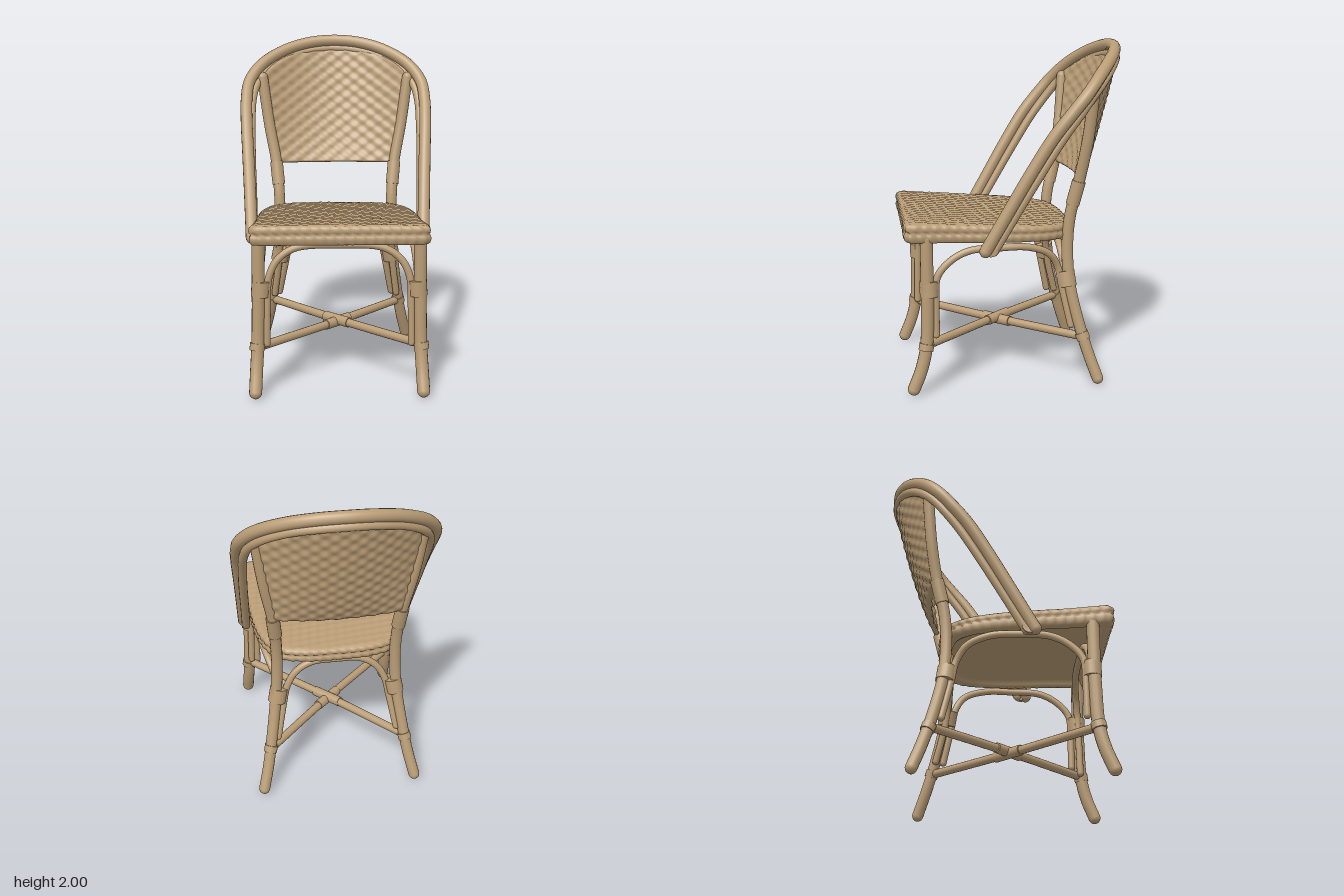
import * as THREE from 'three';
import { mergeGeometries, mergeVertices } from 'three/addons/utils/BufferGeometryUtils.js';

const V = (p) => new THREE.Vector3(...p);
const flipX = (p) => [-p[0], p[1], p[2]];
const lerp = THREE.MathUtils.lerp;

export function createModel() {
  const chair = new THREE.Group();
  chair.name = 'rattanChair';
  const cane = new THREE.MeshStandardMaterial({ color: 0xba9d76 });
  cane.name = 'cane';

  function add(name, geometry) {
    const mesh = new THREE.Mesh(geometry, cane);
    mesh.name = name;
    chair.add(mesh);
  }

  // Bent cane with rounded ends
  function rod(name, points, r, segments = 48) {
    const pts = points.map(V);
    const tube = new THREE.TubeGeometry(new THREE.CatmullRomCurve3(pts), segments, r, 14);
    const ends = [pts[0], pts[pts.length - 1]].map((p) =>
      new THREE.SphereGeometry(r, 14, 8).translate(p.x, p.y, p.z));
    add(name, mergeGeometries([tube, ...ends]));
  }

  // Wrapped binding between two points
  function binding(name, from, to, r) {
    const a = V(from), b = V(to), dir = b.clone().sub(a);
    const h = dir.length();
    const g = new THREE.CylinderGeometry(r, r, h, 20);
    g.applyQuaternion(new THREE.Quaternion().setFromUnitVectors(V([0, 1, 0]), dir.normalize()));
    const c = a.add(b).multiplyScalar(0.5);
    add(name, g.translate(c.x, c.y, c.z));
  }

  // Smooth surface from rows of points, closed around each row
  function surface(rows, cols, fn) {
    const pos = [], index = [];
    for (let i = 0; i <= rows; i++) {
      for (let j = 0; j < cols; j++) pos.push(...fn(i, j / cols));
    }
    for (let i = 0; i < rows; i++) {
      for (let j = 0; j < cols; j++) {
        const k = (j + 1) % cols;
        const a = i * cols + j, b = i * cols + k, c = a + cols, d = b + cols;
        index.push(a, b, c, b, d, c);
      }
    }
    let g = new THREE.BufferGeometry();
    g.setAttribute('position', new THREE.Float32BufferAttribute(pos, 3));
    g.setIndex(index);
    g = mergeVertices(g, 1e-5);
    g.computeVertexNormals();
    return g;
  }

  // Woven seat: outline from the back centre round the left side to the front
  const half = [[0.2, -0.335], [0.33, -0.295], [0.41, -0.2], [0.455, -0.05], [0.475, 0.15],
    [0.483, 0.4], [0.5, 0.58], [0.503, 0.635], [0.48, 0.655], [0.25, 0.658]];
  const outline = [[0, -0.345], ...half, [0, 0.658], ...half.slice().reverse().map(([x, z]) => [-x, z])];
  const seatCurve = new THREE.CatmullRomCurve3(outline.map(([x, z]) => V([x, 0, z])), true);
  const seatCols = 260;
  const rim = seatCurve.getSpacedPoints(seatCols);
  // Profile as [outline scale, height within the slab]
  const profile = [];
  for (let i = 0; i <= 40; i++) profile.push([0.94 * i / 40, 1]);
  profile.push([0.97, 0.97], [0.99, 0.88], [1, 0.76], [0.995, 0.62], [0.98, 0.53], [0.995, 0.44],
    [1, 0.3], [0.99, 0.12], [0.97, 0.03], [0.94, 0], [0.88, 0], [0.85, 0.08], [0.84, 0.35], [0, 0.35]);
  add('wovenSeat', surface(profile.length - 1, seatCols, (i, u) => {
    const [s, t] = profile[i];
    const p = rim[Math.round(u * seatCols)];
    const edge = t < 0.97 && s > 0.96 ? 1 + 0.007 * Math.sin(u * Math.PI * 2 * 64 + (t > 0.53 ? 0 : 3)) : 1;
    const x = p.x * s * edge, z = 0.15 + (p.z - 0.15) * s * edge;
    const f = z + 0.345;
    const weave = t === 1 ? 0.004 * Math.sin(65 * (x + z)) * Math.sin(50 * (x - z)) : 0;
    return [x, lerp(0.86 + 0.04 * f, 0.95 + 0.066 * f, t) + weave, z];
  }));

  // Curved woven back, its top following the hoop
  const backRows = 90;
  add('wovenBack', surface(backRows, 220, (i, u) => {
    const v = i / backRows, front = u < 0.5;
    const s = front ? 4 * u - 1 : 3 - 4 * u;
    const x = s * lerp(0.4, 0.465, Math.min(1, v * 1.1));
    const y = 1.2 + v * (0.71 - 0.04 * s * s - 0.12 * s ** 4);
    const zMid = -0.4 - 0.23 * v ** 0.75, zEdge = -0.36 - 0.065 * v;
    const taper = Math.sqrt(Math.max(0, (1 - s ** 20) * (1 - (2 * v - 1) ** 40)));
    const weave = 0.005 * Math.sin(62 * x + (front ? 0 : 1)) * Math.sin(85 * y);
    return [x, y, lerp(zMid, zEdge, s * s) + (front ? 1 : -1) * taper * (0.018 + weave)];
  }));

  // Double hoop forming the arms and the top of the back
  const arch = (h) => [...h, ...h.slice(0, -1).reverse().map(flipX)];
  rod('outerHoop', arch([[0.51, 0.845, 0.205], [0.525, 1.1, 0.06], [0.538, 1.3, -0.055],
    [0.552, 1.5, -0.18], [0.555, 1.62, -0.275], [0.54, 1.72, -0.36], [0.465, 1.82, -0.45],
    [0.32, 1.905, -0.545], [0.16, 1.95, -0.605], [0, 1.963, -0.625]]), 0.036, 140);
  rod('innerHoop', arch([[0.5, 0.84, 0.155], [0.51, 1.07, 0.02], [0.52, 1.27, -0.1],
    [0.525, 1.47, -0.225], [0.522, 1.6, -0.32], [0.5, 1.69, -0.39], [0.435, 1.78, -0.475],
    [0.3, 1.86, -0.56], [0.15, 1.9, -0.615], [0, 1.912, -0.635]]), 0.026, 140);

  for (const [side, m] of [['left', (p) => p], ['right', flipX]]) {
    // Legs; the back ones run up as posts beside the woven back
    rod(side + 'FrontLeg', [[0.48, 0.036, 0.62], [0.475, 0.15, 0.575], [0.468, 0.28, 0.545],
      [0.462, 0.5, 0.535], [0.458, 0.92, 0.535]].map(m), 0.037);
    rod(side + 'BackLeg', [[0.47, 0.036, -0.465], [0.435, 0.18, -0.415], [0.405, 0.35, -0.365],
      [0.37, 0.6, -0.31], [0.355, 0.82, -0.297], [0.358, 1.0, -0.31], [0.375, 1.2, -0.355],
      [0.42, 1.45, -0.395], [0.46, 1.74, -0.42]].map(m), 0.034, 80);

    // Bindings on legs, posts and arm ends
    binding(side + 'FrontLegBinding', m([0.45, 0.58, 0.523]), m([0.445, 0.67, 0.523]), 0.053);
    binding(side + 'BackLegBinding', m([0.362, 0.58, -0.3]), m([0.345, 0.67, -0.288]), 0.054);
    binding(side + 'PostBinding', m([0.362, 1.07, -0.323]), m([0.376, 1.21, -0.357]), 0.04);
    binding(side + 'ArmBinding', m([0.49, 0.86, 0.175]), m([0.525, 0.86, 0.175]), 0.045);
    binding(side + 'FrontAnkleBinding', m([0.473, 0.265, 0.548]), m([0.468, 0.305, 0.541]), 0.043);
    binding(side + 'BackAnkleBinding', m([0.42, 0.265, -0.39]), m([0.41, 0.305, -0.376]), 0.04);

    // Arched brace between front and back leg
    rod(side + 'SideBrace', [[0.455, 0.35, 0.485], [0.452, 0.55, 0.485], [0.45, 0.69, 0.475],
      [0.445, 0.78, 0.4], [0.44, 0.835, 0.29], [0.435, 0.845, 0.12], [0.42, 0.84, -0.05],
      [0.39, 0.79, -0.18], [0.36, 0.7, -0.24], [0.365, 0.58, -0.265], [0.395, 0.35, -0.315]].map(m), 0.021, 90);
  }

  // Arched braces between the front pair and the back pair of legs
  rod('frontBrace', arch([[0.415, 0.3, 0.535], [0.41, 0.55, 0.53], [0.4, 0.69, 0.525],
    [0.35, 0.79, 0.515], [0.25, 0.855, 0.505], [0, 0.87, 0.5]]), 0.021, 90);
  rod('backBrace', arch([[0.365, 0.35, -0.36], [0.325, 0.55, -0.31], [0.295, 0.68, -0.29],
    [0.24, 0.77, -0.28], [0.15, 0.825, -0.275], [0, 0.835, -0.275]]), 0.021, 90);

  // Crossed stretchers, bound where they meet
  for (const [side, s] of [['left', 1], ['right', -1]]) {
    const y = 0.287 + 0.006 * s;
    rod(side + 'Stretcher', [[0.47 * s, y, 0.545], [0, y, 0.07], [-0.415 * s, y, -0.385]], 0.025, 24);
    binding(side + 'StretcherBinding', [0.07 * s, y, 0.14], [-0.07 * s, y, 0], 0.031);
  }

  return chair;
}
